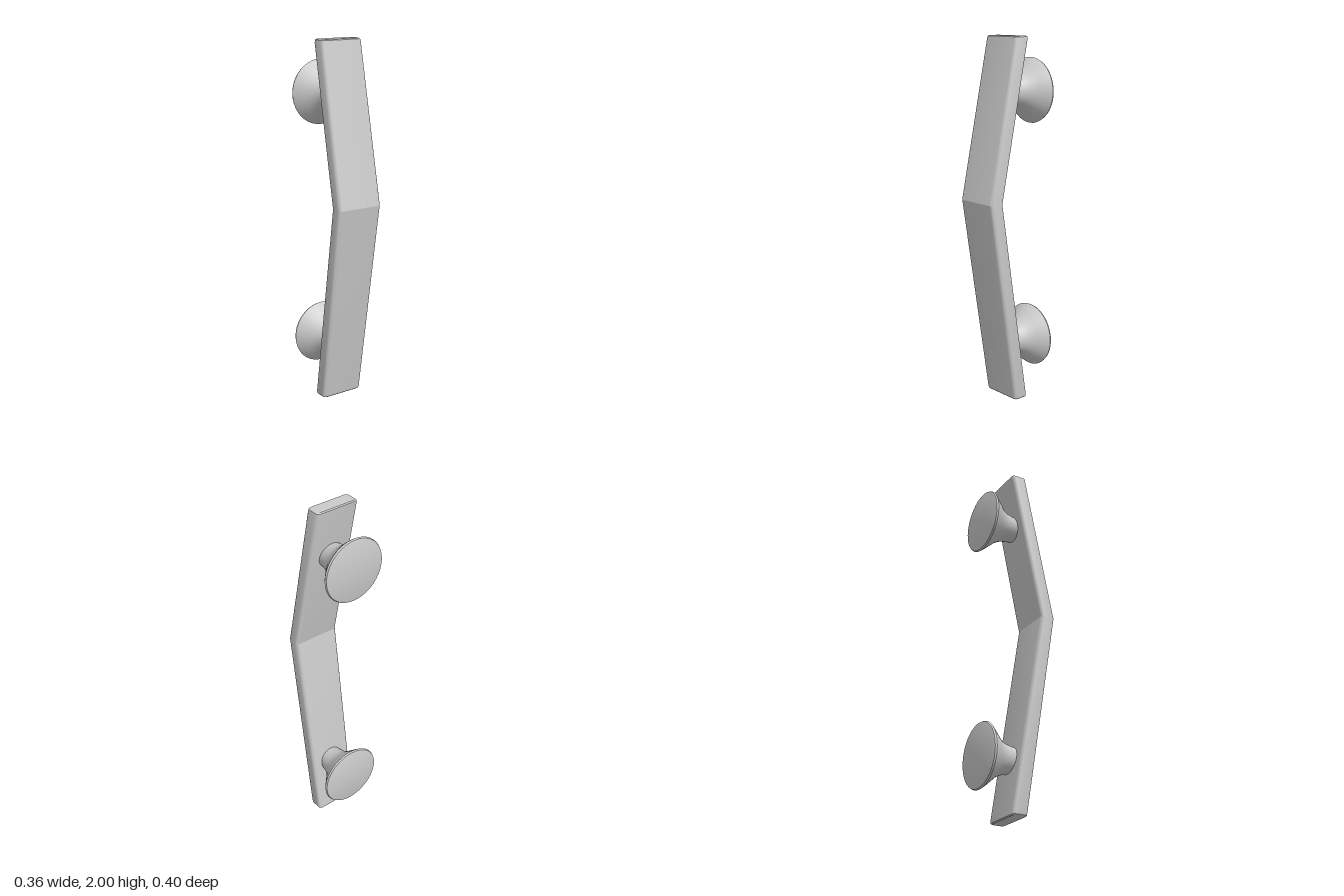
import * as THREE from 'three';
import { toCreasedNormals } from 'three/addons/utils/BufferGeometryUtils.js';

const material = new THREE.MeshStandardMaterial({ color: 0xcccccc, side: THREE.DoubleSide });

// Horizontal rounded-rectangle cross-section, as [x, z] points
function ring(halfWidth, zBack, zFront, radius, steps = 6) {
  const points = [];
  const midZ = (zBack + zFront) / 2, halfDepth = (zFront - zBack) / 2;
  const signs = [[1, 1], [-1, 1], [-1, -1], [1, -1]];
  signs.forEach(([sx, sz], quarter) => {
    for (let i = 0; i <= steps; i++) {
      const a = (quarter + i / steps) * Math.PI / 2;
      points.push([
        sx * (halfWidth - radius) + radius * Math.cos(a),
        midZ + sz * (halfDepth - radius) + radius * Math.sin(a),
      ]);
    }
  });
  return points;
}

// Lofts the stations [y, halfWidth, zBack, zFront, radius] from bottom to top
function loft(stations) {
  const positions = [], index = [];
  let n = 0;
  for (const [y, ...shape] of stations) {
    const points = ring(...shape);
    n = points.length;
    for (const [x, z] of points) positions.push(x, y, z);
  }
  const last = stations.length - 1;
  for (let s = 0; s < last; s++) {
    for (let j = 0; j < n; j++) {
      const k = (j + 1) % n;
      const a = s * n + j, b = s * n + k, c = a + n, d = b + n;
      index.push(a, c, b, b, c, d);
    }
  }
  // End caps
  for (let j = 1; j < n - 1; j++) {
    index.push(0, j, j + 1);
    index.push(last * n, last * n + j + 1, last * n + j);
  }
  const geometry = new THREE.BufferGeometry();
  geometry.setAttribute('position', new THREE.Float32BufferAttribute(positions, 3));
  geometry.setIndex(index);
  return toCreasedNormals(geometry, 0.32);
}

export function createModel() {
  const group = new THREE.Group();

  // Flat grip bar, bent forward a little above the middle, with eased ends
  const bar = new THREE.Mesh(loft([
    [0, 0.115, -0.058, 0.015, 0.015],
    [0.005, 0.122, -0.063, 0.021, 0.018],
    [0.02, 0.126, -0.063, 0.024, 0.022],
    [1.13, 0.134, 0.115, 0.197, 0.024],
    [1.98, 0.126, -0.063, 0.024, 0.022],
    [1.995, 0.122, -0.064, 0.021, 0.018],
    [2, 0.115, -0.058, 0.015, 0.015],
  ]), material);
  bar.name = 'gripBar';
  group.add(bar);

  // Flared mounts: wide flat foot at the back, narrow stem into the bar
  const profile = [
    [0, -0.2], [0.165, -0.2], [0.174, -0.197], [0.178, -0.188], [0.17, -0.177],
    [0.135, -0.138], [0.105, -0.105], [0.09, -0.08], [0.082, -0.06],
    [0.074, -0.025], [0.068, 0.025], [0, 0.025],
  ].map(([r, z]) => new THREE.Vector2(r, z));
  const mountGeometry = toCreasedNormals(new THREE.LatheGeometry(profile, 40), 0.7);
  mountGeometry.rotateX(Math.PI / 2);
  for (const [name, y] of [['upperMount', 1.705], ['lowerMount', 0.315]]) {
    const mount = new THREE.Mesh(mountGeometry, material);
    mount.name = name;
    mount.position.y = y;
    group.add(mount);
  }
  return group;
}
